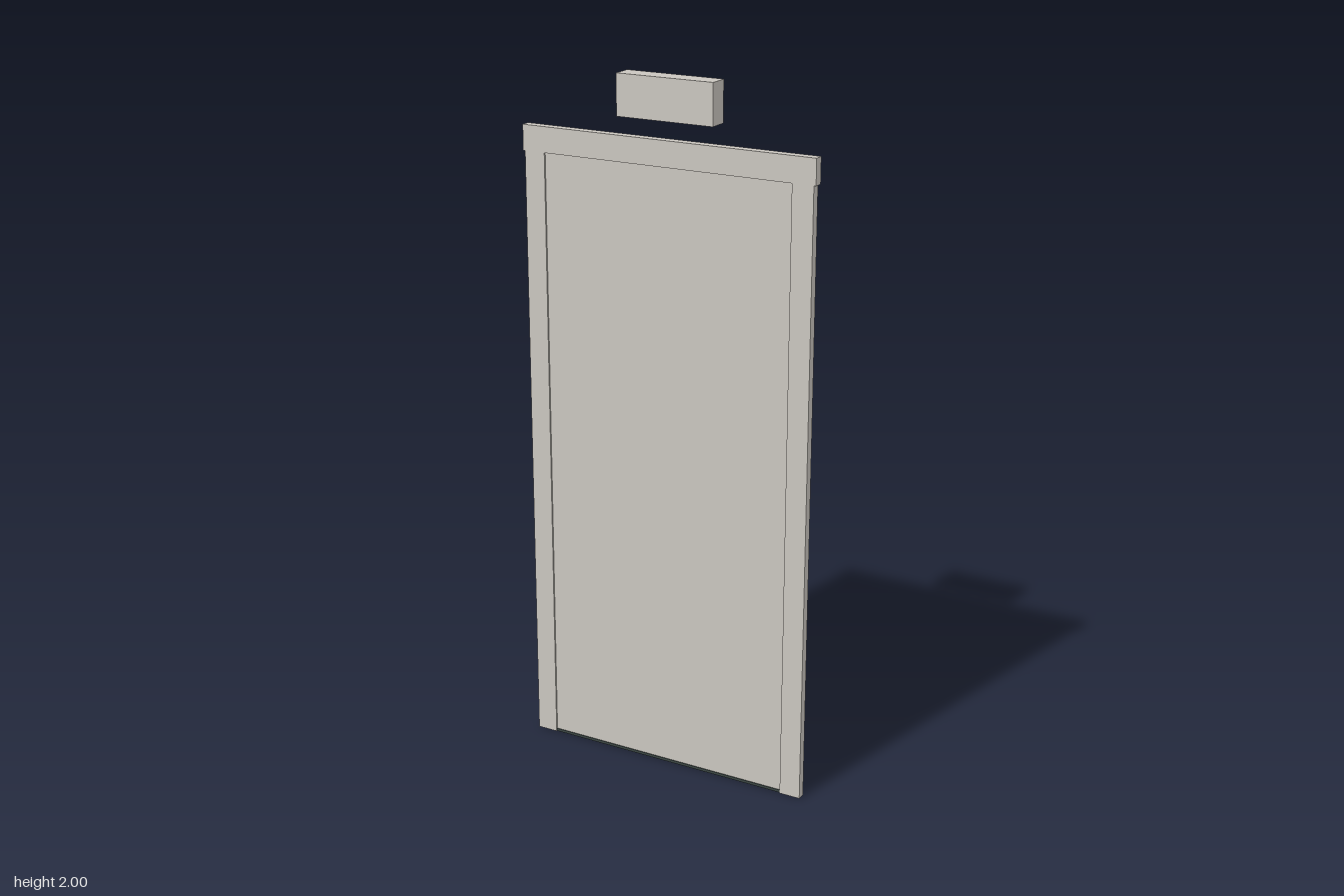
import * as THREE from 'three';

export function createModel() {
  const model = new THREE.Group();
  model.name = 'exitDoor';

  const material = (name, hex) => {
    const m = new THREE.MeshStandardMaterial({ color: hex });
    m.name = name;
    return m;
  };
  const frameGrey = material('warm grey frame', 0xcac6bf);
  const metal = material('satin metal', 0xccc6be);
  const teal = material('teal door', 0x5a827d);
  const dark = material('dark threshold', 0x3a4442);
  const green = material('sign green', 0x3aae7a);

  // Box given by its limits on each axis
  const box = (name, mat, [x0, x1], [y0, y1], [z0, z1], parent = model) => {
    const mesh = new THREE.Mesh(new THREE.BoxGeometry(x1 - x0, y1 - y0, z1 - z0), mat);
    mesh.position.set((x0 + x1) / 2, (y0 + y1) / 2, (z0 + z1) / 2);
    mesh.name = name;
    parent.add(mesh);
    return mesh;
  };

  // Frame: jambs, header and the slightly recessed backing
  box('rightJamb', frameGrey, [-0.437, -0.375], [0, 1.765], [0.019, 0.043]);
  box('leftJamb', frameGrey, [0.375, 0.437], [0, 1.765], [0.019, 0.043]);
  box('header', frameGrey, [-0.443, 0.443], [1.763, 1.835], [0.016, 0.043]);
  box('backing', frameGrey, [-0.375, 0.375], [0.008, 1.765], [0.028, 0.038]);
  box('threshold', dark, [-0.375, 0.375], [0, 0.008], [0.012, 0.04]);

  // Door leaf with four moulded panels
  box('doorLeaf', teal, [-0.372, 0.372], [0.01, 1.76], [0.006, 0.028]);
  const w = 0.018;
  for (const side of [-1, 1]) {
    for (const [y0, y1] of [[0.28, 0.98], [1.07, 1.67]]) {
      const panel = new THREE.Group();
      panel.name = 'panelMoulding';
      const cx = side * 0.155, h = 0.132;
      const z = [0.001, 0.007];
      box('mouldingBottom', teal, [cx - h, cx + h], [y0, y0 + w], z, panel);
      box('mouldingTop', teal, [cx - h, cx + h], [y1 - w, y1], z, panel);
      box('mouldingSideA', teal, [cx - h, cx - h + w], [y0 + w, y1 - w], z, panel);
      box('mouldingSideB', teal, [cx + h - w, cx + h], [y0 + w, y1 - w], z, panel);
      model.add(panel);
    }
  }
  box('kickPlate', metal, [-0.34, 0.34], [0.035, 0.225], [0.003, 0.007]);

  // Hinges
  for (const y of [0.26, 0.93, 1.58]) {
    box('hinge', metal, [-0.385, -0.37], [y - 0.045, y + 0.045], [0.003, 0.02]);
  }

  // Lever handle
  const handle = new THREE.Group();
  handle.name = 'handle';
  box('handlePlate', metal, [0.285, 0.335], [0.8, 0.955], [-0.004, 0.007], handle);
  const stem = new THREE.Mesh(new THREE.CylinderGeometry(0.009, 0.009, 0.04, 16), metal);
  stem.rotation.x = Math.PI / 2;
  stem.position.set(0.309, 0.871, -0.02);
  stem.name = 'handleStem';
  handle.add(stem);
  box('handleLever', metal, [0.207, 0.318], [0.861, 0.881], [-0.045, -0.033], handle);
  model.add(handle);

  // Sign box above the door
  box('signBox', frameGrey, [-0.145, 0.145], [1.885, 2], [-0.015, 0.043]);
  box('signFace', green, [-0.132, 0.132], [1.897, 1.988], [-0.018, -0.014]);

  return model;
}
